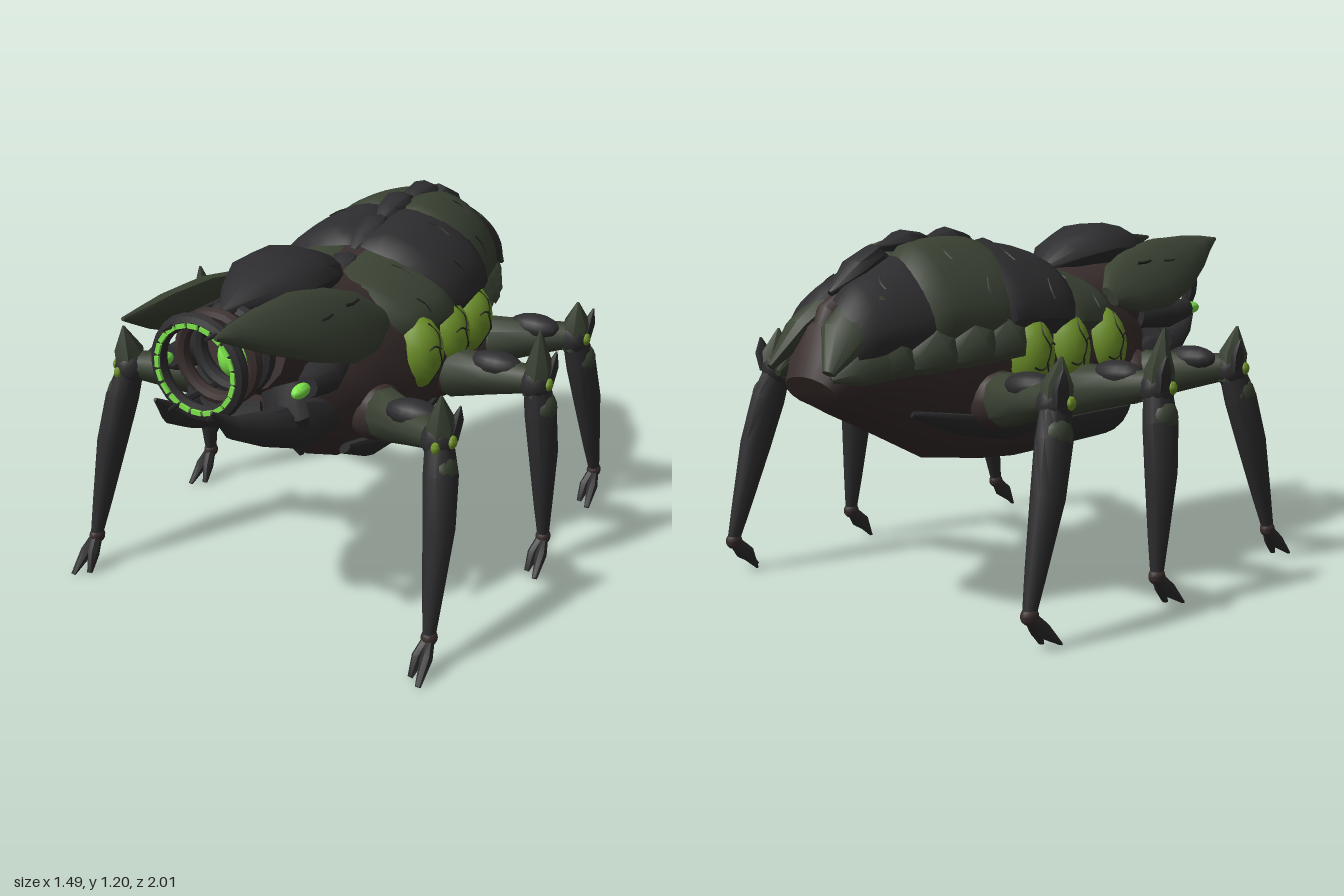
import * as THREE from 'three';
import { toCreasedNormals } from 'three/addons/utils/BufferGeometryUtils.js';

const mat = (name, color) => Object.assign(new THREE.MeshStandardMaterial({ color }), { name });
const V = (a) => new THREE.Vector3(a[0], a[1], a[2]);

export function createModel() {
  const root = new THREE.Group();
  const dark = mat('charcoal', 0x2d2d2f), green = mat('moss', 0x3a4233), brown = mat('umber', 0x392e2d);
  const lime = mat('lime', 0x6f9229), glow = mat('glow', 0x7fe84c), black = mat('groove', 0x1c1f1a);

  const add = (name, geo, material) => {
    const mesh = new THREE.Mesh(toCreasedNormals(geo, 0.75), material);
    mesh.name = name;
    root.add(mesh);
  };
  // Adds a part on the left and its mirror image on the right
  const pair = (name, geo, material) => {
    const m = geo.clone().applyMatrix4(new THREE.Matrix4().makeScale(-1, 1, 1));
    m.setIndex(Array.from(m.index.array).reverse());
    add(name + 'Left', geo, material);
    add(name + 'Right', m, material);
  };
  const makeGeo = (pos, idx) => {
    const g = new THREE.BufferGeometry();
    g.setAttribute('position', new THREE.Float32BufferAttribute(pos, 3));
    g.setIndex(idx);
    g.computeVertexNormals();
    return g;
  };

  // Elliptical loft through stations [x, y, z, radiusA, radiusB]; ref fixes the ring direction
  const limb = (st, { n = 10, ref = [0, 1, 0], roll = 0 } = {}) => {
    const pos = [], idx = [], c = st.map(V), last = st.length - 1;
    st.forEach((s, i) => {
      const t = c[Math.min(i + 1, last)].clone().sub(c[Math.max(i - 1, 0)]).normalize();
      const a = V(ref).cross(t).normalize();
      const b = t.clone().cross(a);
      a.applyAxisAngle(t, roll); b.applyAxisAngle(t, roll);
      for (let j = 0; j < n; j++) {
        const w = j / n * Math.PI * 2;
        const p = c[i].clone().addScaledVector(a, s[3] * Math.cos(w)).addScaledVector(b, s[4] * Math.sin(w));
        pos.push(p.x, p.y, p.z);
      }
    });
    for (let i = 0; i < last; i++) for (let j = 0; j < n; j++) {
      const a = i * n + j, b = i * n + (j + 1) % n;
      idx.push(a, b, b + n, a, b + n, a + n);
    }
    const k = pos.length / 3;
    pos.push(...c[0].toArray(), ...c[last].toArray());
    for (let j = 0; j < n; j++) {
      const q = (j + 1) % n;
      idx.push(k, q, j, k + 1, last * n + j, last * n + q);
    }
    return makeGeo(pos, idx);
  };
  const ball = (x, y, z, rx, ry = rx, rz = rx) =>
    new THREE.SphereGeometry(1, 14, 10).scale(rx, ry, rz).translate(x, y, z);
  const line = (pts, r) => new THREE.TubeGeometry(new THREE.CatmullRomCurve3(pts), 10, r, 4);

  // Body hull, neck and chin
  add('hull', limb([
    [0, 0.68, 0.46, 0.16, 0.16], [0, 0.72, 0.38, 0.26, 0.25], [0, 0.735, 0.28, 0.31, 0.3],
    [0, 0.73, 0.08, 0.35, 0.32], [0, 0.75, -0.15, 0.355, 0.345], [0, 0.79, -0.45, 0.31, 0.34],
    [0, 0.81, -0.7, 0.23, 0.26], [0, 0.77, -0.88, 0.16, 0.16], [0, 0.72, -0.955, 0.11, 0.06]], { n: 16 }), brown);
  add('neck', limb([[0, 0.86, 0.12, 0.27, 0.18], [0, 0.89, 0.32, 0.25, 0.19], [0, 0.93, 0.52, 0.2, 0.18],
    [0, 0.95, 0.62, 0.15, 0.15]], { n: 14 }), brown);
  add('chin', limb([[0, 0.62, 0.36, 0.15, 0.11], [0, 0.66, 0.52, 0.11, 0.08], [0, 0.69, 0.64, 0.08, 0.05]], { n: 8 }), brown);
  // Flat leaves lying against the lower flanks
  pair('bellyLeafFront', limb([[0.2, 0.54, 0.36, 0.03, 0.015], [0.24, 0.515, 0.24, 0.075, 0.03],
    [0.265, 0.52, 0.02, 0.08, 0.03], [0.27, 0.55, -0.22, 0.02, 0.01]], { roll: -0.75 }), dark);
  pair('bellyLeafRear', limb([[0.28, 0.56, -0.16, 0.02, 0.01], [0.26, 0.56, -0.32, 0.06, 0.025],
    [0.225, 0.59, -0.52, 0.05, 0.02], [0.17, 0.64, -0.7, 0.01, 0.01]], { roll: -0.75 }), dark);

  // Overlapping domed back plates, each with shallow groove marks
  const plates = [
    [0.2, -0.14, 0.365, 0.4, 1.03, 1.1, 0.81, green],
    [-0.03, -0.42, 0.4, 0.385, 1.13, 1.18, 0.81, dark],
    [-0.28, -0.67, 0.38, 0.29, 1.19, 1.17, 0.8, green],
    [-0.52, -0.9, 0.3, 0.2, 1.17, 1.03, 0.79, dark]];
  plates.forEach(([z0, z1, r0, r1, t0, t1, base, m], i) => {
    const at = (u, v) => {
      const k = (u + 1) / 2, w = (v + 1) / 2, th = (92 - 82 * w) * Math.PI / 180;
      const s = 0.85 + 0.165 * Math.sqrt((1 - Math.abs(u) ** 3) * (1 - v ** 4));
      const z = (z0 + z1) / 2 + (z1 - z0) / 2 * u * Math.sqrt(1 - 0.35 * v * v) - 0.05 * w * w;
      return new THREE.Vector3(s * (r0 + (r1 - r0) * k) * Math.cos(th),
        base + s * (t0 + (t1 - t0) * k - base) * Math.sin(th), z);
    };
    const n = 10, pos = [], idx = [];
    for (let a = 0; a <= n; a++) for (let b = 0; b <= n; b++) pos.push(...at(a / 5 - 1, b / 5 - 1).toArray());
    for (let a = 0; a < n; a++) for (let b = 0; b < n; b++) {
      const p = a * (n + 1) + b, q = p + n + 1;
      idx.push(p, p + 1, q + 1, p, q + 1, q);
    }
    pair('backPlate' + i, makeGeo(pos, idx), m);
    for (const [u, v] of [[0.25, -0.35], [-0.2, 0.25]])
      pair('plateGroove' + i, line([at(u, v), at(u + 0.06, v + 0.15), at(u + 0.04, v + 0.3)], 0.003), black);
  });

  // Ridge of pointed scales along the spine
  [[0.16, 1.02, 0.05], [-0.04, 1.1, 0.05], [-0.22, 1.155, 0.02], [-0.42, 1.16, 0], [-0.62, 1.13, -0.1]].forEach(([z, y, rise], i) =>
    add('spineScale' + i, limb([[0, y - 0.03, z, 0.012, 0.01], [0, y - 0.01, z - 0.07, 0.045, 0.035],
      [0, y + rise * 0.5, z - 0.15, 0.055, 0.035], [0, y + rise - 0.02, z - 0.25, 0.01, 0.01]], { n: 8 }), dark));

  // Tail leaves and rim scales
  pair('tailLeaf', limb([[0.09, 1.0, -0.68, 0.06, 0.04], [0.1, 0.97, -0.79, 0.1, 0.06],
    [0.105, 0.89, -0.91, 0.08, 0.045], [0.13, 0.79, -1, 0.02, 0.012]], { roll: 0.45 }), green);
  pair('tailLeafLower', limb([[0.18, 0.87, -0.68, 0.05, 0.03], [0.175, 0.83, -0.8, 0.075, 0.03],
    [0.145, 0.79, -0.91, 0.05, 0.025], [0.12, 0.77, -0.98, 0.01, 0.01]], { roll: 1.15 }), green);
  add('tailTip', limb([[0, 1.02, -0.74, 0.05, 0.05], [0, 0.93, -0.87, 0.05, 0.06], [0, 0.85, -0.95, 0.01, 0.01]]), brown);
  for (let i = 0; i < 4; i++) {
    const z = -0.34 - i * 0.12, x = 0.335 - 0.02 * i - 0.008 * i * i, y = 0.9 - i * 0.012;
    pair('rimScale' + i, limb([[x - 0.02, y, z, 0.03, 0.015], [x - 0.005, y - 0.03, z - 0.07, 0.075, 0.03],
      [x - 0.04, y - 0.06, z - 0.14, 0.055, 0.025], [x - 0.075, y - 0.09, z - 0.2, 0.01, 0.01]], { n: 8, roll: 1.2 }), green);
  }

  // Glossy flank sacs with jagged cracks
  [0.07, -0.13, -0.315].forEach((z, i) => {
    const c = [0.3, 0.8, z], r = [0.1, 0.13, 0.09];
    pair('flankSac' + i, ball(...c, ...r), lime);
    const on = (a, b) => new THREE.Vector3(c[0] + r[0] * Math.sqrt(1 - a * a - b * b), c[1] + r[1] * a, c[2] + r[2] * b);
    pair('sacCrack' + i, line([on(0.85, 0.1), on(0.5, -0.12), on(0.2, 0.12), on(-0.2, -0.1), on(-0.5, 0.15), on(-0.85, 0)], 0.0035), black);
    for (const s of [-1, 1])
      pair('sacBranch' + i, line([on(0.2 * s, 0), on(0.32 * s, 0.3 * s), on(0.25 * s, 0.55 * s)], 0.003), black);
  });

  // Head armour: central hood and two long side blades
  add('hood', limb([[0, 1.04, 0.13, 0.04, 0.02], [0, 1.08, 0.22, 0.115, 0.06], [0, 1.11, 0.36, 0.16, 0.085],
    [0, 1.11, 0.48, 0.155, 0.085], [0, 1.1, 0.6, 0.1, 0.06], [0, 1.09, 0.74, 0.008, 0.008]], { n: 12 }), dark);
  pair('headBlade', limb([[0.25, 0.95, 0.2, 0.04, 0.02], [0.235, 0.97, 0.3, 0.105, 0.045],
    [0.225, 1.0, 0.45, 0.135, 0.055], [0.21, 1.045, 0.62, 0.12, 0.05], [0.185, 1.085, 0.8, 0.075, 0.035],
    [0.165, 1.11, 0.92, 0.035, 0.02], [0.16, 1.125, 1, 0.006, 0.006]], { roll: -0.85, n: 12 }), green);
  for (const z of [0.36, 0.52])
    pair('bladeGroove', line([[0.25, 1.06, z], [0.254, 1.06, z + 0.04], [0.25, 1.065, z + 0.08]].map(V), 0.005), black);

  // Round mouth: rings, rods, glowing teeth and core
  [[0.862, 0.145, 0.024, dark], [0.765, 0.132, 0.023, brown], [0.685, 0.125, 0.024, dark]].forEach(([z, r, t, m], i) =>
    add('mouthRing' + i, new THREE.TorusGeometry(r, t, 8, 24).translate(0, 0.96, z), m));
  for (const a of [1, -1.05]) {
    const x = 0.145 * Math.cos(a), y = 0.96 + 0.145 * Math.sin(a);
    pair('mouthRod', limb([[x * 0.85, y, 0.6, 0.014, 0.014], [x, y, 0.86, 0.012, 0.012], [x * 0.95, y, 0.93, 0.003, 0.003]], { n: 6 }), dark);
  }
  for (let i = 0; i < 20; i++) {
    const g = new THREE.BoxGeometry(0.014, 0.034, 0.009).translate(0.135, 0, 0);
    add('mouthLight', g.rotateZ(i * Math.PI / 10).translate(0, 0.96, 0.886), glow);
  }
  add('mouthCore', ball(0, 0.93, 0.67, 0.058, 0.068, 0.06), glow);

  // Eyes on dark pods
  pair('eyePod', limb([[0.2, 0.87, 0.42, 0.05, 0.05], [0.235, 0.87, 0.56, 0.065, 0.055], [0.25, 0.88, 0.67, 0.035, 0.035]]), dark);
  pair('eye', ball(0.25, 0.88, 0.705, 0.022, 0.022, 0.042), glow);

  // Mandibles sweeping forward and cheek fangs
  pair('mandible', limb([[0.16, 0.67, 0.38, 0.05, 0.06], [0.16, 0.695, 0.56, 0.055, 0.08], [0.135, 0.745, 0.74, 0.05, 0.055],
    [0.11, 0.79, 0.86, 0.035, 0.035], [0.1, 0.87, 0.95, 0.005, 0.005]]), dark);
  pair('cheekFang', limb([[0.11, 0.83, 0.6, 0.08, 0.03], [0.15, 0.74, 0.62, 0.08, 0.04], [0.165, 0.6, 0.57, 0.01, 0.01]],
    { ref: [0, 0, 1], n: 8 }), dark);
  add('lowerLip', limb([[-0.1, 0.78, 0.69, 0.03, 0.03], [0, 0.765, 0.74, 0.05, 0.04], [0.1, 0.78, 0.69, 0.03, 0.03]], { n: 8 }), dark);

  // Legs: hip z, knee x/z, ankle x/z, spike height
  [['front', 0.27, 0.585, 0.455, 0.65, 0.62, 0.85], ['middle', -0.12, 0.665, -0.105, 0.705, -0.15, 0.89],
    ['rear', -0.42, 0.62, -0.56, 0.67, -0.735, 0.84]].forEach(([name, hz, kx, kz, ax, az, top]) => {
    const mix = (t) => [0.24 + (kx - 0.24) * t, 0.66 + 0.05 * t, hz + (kz - hz) * t];
    const low = (t, bow) => [kx + (ax - kx) * t + bow, 0.7 - 0.58 * t, kz + (az - kz) * t];
    pair(name + 'Hip', ball(...mix(0.1), 0.095, 0.1, 0.095), brown);
    pair(name + 'Thigh', limb([[...mix(0.1), 0.06, 0.06], [...mix(0.26), 0.078, 0.09], [...mix(0.6), 0.062, 0.068],
      [...mix(1), 0.045, 0.045]]), green);
    const p = mix(0.65);
    pair(name + 'ThighGuard', ball(p[0], p[1] + 0.042, p[2], 0.095, 0.045, 0.055), dark);
    pair(name + 'Knee', ball(kx, 0.7, kz, 0.055, 0.065, 0.06), dark);
    pair(name + 'KneeSpike', limb([[kx, 0.66, kz, 0.045, 0.055], [kx + 0.008, 0.76, kz, 0.047, 0.055],
      [kx + 0.012, top, kz + 0.015, 0.004, 0.004]], { ref: [0, 0, 1], n: 7 }), green);
    pair(name + 'KneeBarb', limb([[kx + 0.035, 0.7, kz - 0.02, 0.02, 0.03], [kx + 0.045, 0.76, kz - 0.03, 0.02, 0.03],
      [kx + 0.055, 0.81, kz - 0.03, 0.003, 0.003]], { ref: [0, 0, 1], n: 6 }), dark);
    pair(name + 'KneeLightOuter', ball(kx + 0.05, 0.705, kz + 0.01, 0.014, 0.022, 0.02), lime);
    if (name === 'front') pair('frontKneeLight', ball(kx + 0.015, 0.695, kz + 0.055, 0.014, 0.02, 0.014), lime);
    pair(name + 'Shin', limb([[...low(-0.02, 0), 0.04, 0.05], [...low(0.18, 0.012), 0.052, 0.066], [...low(0.45, 0.015), 0.048, 0.06],
      [...low(0.8, 0.005), 0.031, 0.038], [...low(1, 0), 0.02, 0.024]], { ref: [0, 0, 1] }), dark);
    pair(name + 'ShinPatch', ball(kx + 0.03, 0.61, kz + (az - kz) * 0.16, 0.043, 0.06, 0.056), green);
    pair(name + 'Ankle', ball(ax, 0.11, az, 0.026, 0.028, 0.03), brown);
    for (const s of [-1, 1])
      pair(name + 'Toe', limb([[ax, 0.11, az, 0.018, 0.02], [ax + 0.014 * s, 0.06, az + 0.045, 0.02, 0.026],
        [ax + 0.022 * s, 0.004, az + (s > 0 ? 0.115 : 0.08), 0.01, 0.005]], { n: 7 }), dark);
  });
  return root;
}
